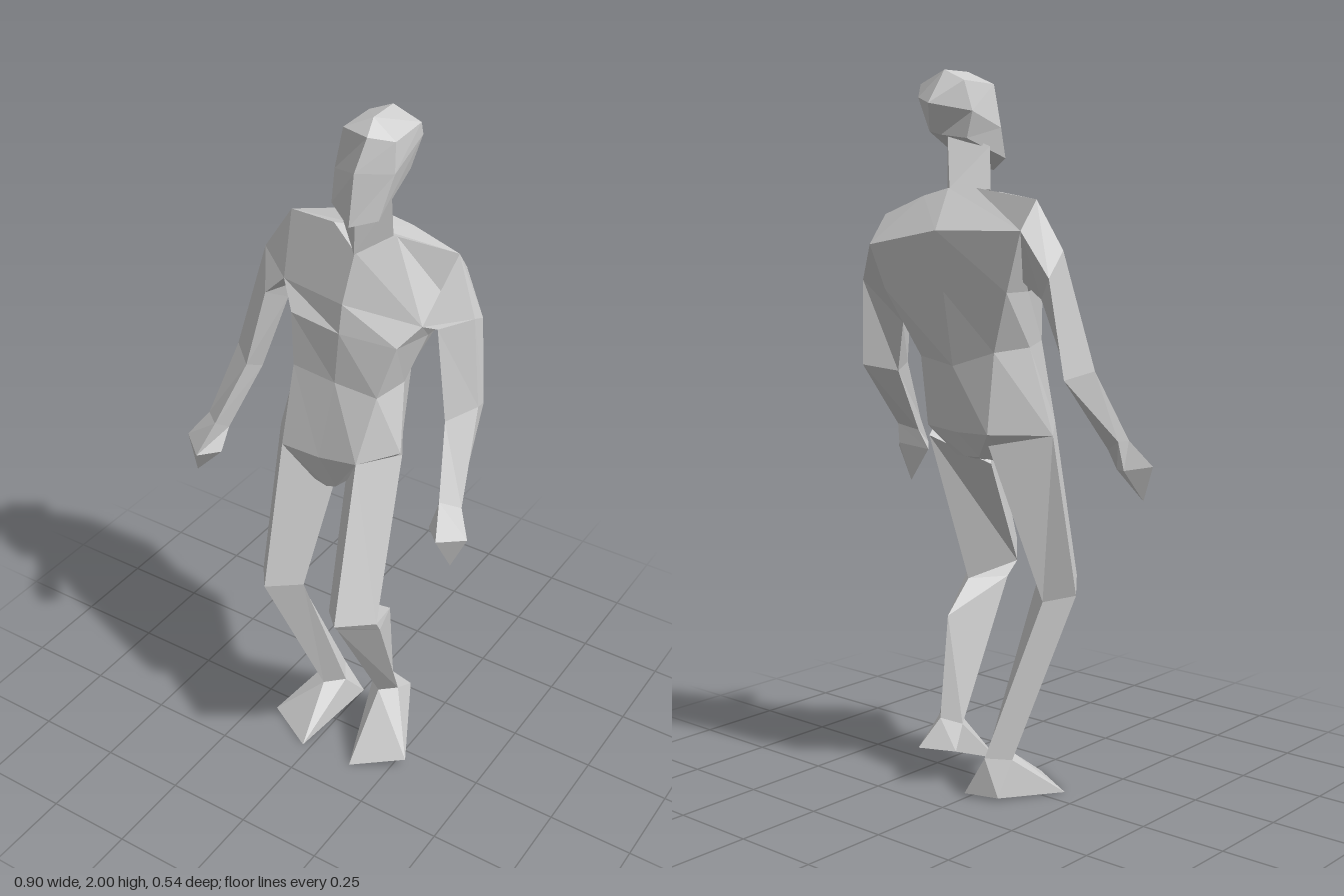
import * as THREE from 'three';

// Skin a stack of matching cross-sections; both ends close to a centre or a given tip.
function loft(rings, tip) {
  const n = rings[0].length;
  const tris = [];
  const centre = (r) => [0, 1, 2].map((k) => r.reduce((s, p) => s + p[k], 0) / n);
  for (let i = 0; i < rings.length - 1; i++) {
    for (let j = 0; j < n; j++) {
      const k = (j + 1) % n;
      const a = rings[i][j], b = rings[i][k], c = rings[i + 1][k], d = rings[i + 1][j];
      tris.push([a, b, c], [a, c, d]);
    }
  }
  const first = rings[0], last = rings[rings.length - 1];
  const c0 = centre(first), c1 = tip || centre(last);
  for (let j = 0; j < n; j++) {
    const k = (j + 1) % n;
    tris.push([c0, first[k], first[j]], [c1, last[j], last[k]]);
  }
  // Turn the faces outward whichever way the sections run
  const v = (p) => new THREE.Vector3(p[0], p[1], p[2]).sub(new THREE.Vector3(...c0));
  const volume = tris.reduce((s, [a, b, c]) => s + v(a).dot(v(b).cross(v(c))), 0);
  if (volume < 0) tris.forEach((t) => t.reverse());
  const g = new THREE.BufferGeometry();
  g.setAttribute('position', new THREE.Float32BufferAttribute(tris.flat(2), 3));
  g.computeVertexNormals();
  return g;
}

export function createModel() {
  const model = new THREE.Group();
  model.name = 'standingFigure';
  const clay = new THREE.MeshStandardMaterial({ color: 0xcccccc, flatShading: true });
  clay.name = 'light grey clay';
  const part = (name, rings, tip) => {
    const mesh = new THREE.Mesh(loft(rings, tip), clay);
    mesh.name = name;
    model.add(mesh);
  };

  // Head: front right, nose line, front left, back left, back, back right
  part('head', [
    [[-0.015, 1.77, 0], [0.065, 1.74, 0.045], [0.125, 1.755, 0], [0.125, 1.84, -0.15], [0.07, 1.83, -0.165], [0, 1.82, -0.14]],
    [[-0.025, 1.85, -0.03], [0.07, 1.88, 0.03], [0.145, 1.87, -0.04], [0.147, 1.93, -0.17], [0.06, 1.91, -0.225], [-0.02, 1.89, -0.14]],
    [[0, 1.965, -0.03], [0.085, 1.965, -0.005], [0.14, 1.95, -0.05], [0.147, 1.965, -0.16], [0.07, 2, -0.15], [0, 1.97, -0.15]],
  ], [0.075, 2, -0.05]);

  // Neck: front, left, back, right
  part('neck', [
    [[0.04, 1.63, -0.02], [0.115, 1.675, -0.09], [0.04, 1.69, -0.165], [-0.04, 1.685, -0.09]],
    [[0.05, 1.77, -0.01], [0.12, 1.79, -0.07], [0.06, 1.85, -0.15], [-0.02, 1.8, -0.07]],
  ]);

  // Torso and pelvis: front right, front, front left, left, back left, back, back right, right
  const waist = [[-0.12, 1.05, 0.09], [0, 1.05, 0.09], [0.12, 1.07, 0.09], [0.2, 1.08, -0.01],
    [0.11, 1.05, -0.18], [0, 1.04, -0.185], [-0.1, 1.04, -0.175], [-0.2, 1.03, -0.02]];
  part('torso', [
    [[-0.05, 1.68, -0.065], [0.04, 1.635, -0.025], [0.12, 1.67, -0.1], [0.255, 1.62, -0.19],
      [0.12, 1.67, -0.18], [0.04, 1.69, -0.17], [-0.04, 1.69, -0.15], [-0.21, 1.66, -0.105]],
    [[-0.19, 1.49, -0.035], [0.03, 1.5, 0.02], [0.22, 1.45, -0.07], [0.27, 1.46, -0.17],
      [0.235, 1.54, -0.272], [0, 1.58, -0.265], [-0.235, 1.58, -0.2], [-0.25, 1.5, -0.12]],
    [[-0.13, 1.43, 0.02], [0.03, 1.42, 0.035], [0.18, 1.4, -0.01], [0.21, 1.4, -0.12],
      [0.2, 1.42, -0.25], [0, 1.42, -0.235], [-0.18, 1.42, -0.19], [-0.17, 1.42, -0.09]],
    [[-0.115, 1.28, 0.035], [0.02, 1.27, 0.04], [0.14, 1.25, 0.02], [0.165, 1.26, -0.08],
      [0.12, 1.24, -0.195], [0, 1.22, -0.2], [-0.12, 1.26, -0.17], [-0.16, 1.27, -0.07]],
    waist,
  ]);
  part('pelvis', [
    waist,
    [[-0.04, 0.94, 0.05], [0, 0.93, 0.05], [0.03, 0.94, 0.05], [0.05, 0.94, -0.03],
      [0.04, 0.97, -0.14], [0, 0.97, -0.15], [-0.04, 0.97, -0.14], [-0.05, 0.94, -0.03]],
  ]);

  // Arms: front, outer, back, inner at shoulder, upper arm, elbow, wrist
  const rightWrist = [[-0.355, 1.03, 0.085], [-0.405, 1.03, 0.045], [-0.395, 1.03, 0.01], [-0.34, 1, 0.04]];
  part('rightArm', [
    [[-0.19, 1.49, -0.035], [-0.21, 1.66, -0.105], [-0.235, 1.58, -0.2], [-0.18, 1.45, -0.13]],
    [[-0.25, 1.43, -0.03], [-0.295, 1.53, -0.1], [-0.3, 1.46, -0.165], [-0.215, 1.4, -0.09]],
    [[-0.3, 1.2, 0], [-0.37, 1.22, -0.06], [-0.335, 1.2, -0.145], [-0.28, 1.18, -0.05]],
    rightWrist,
  ]);
  part('rightHand', [
    rightWrist,
    [[-0.385, 0.94, 0.14], [-0.455, 0.96, 0.085], [-0.4, 0.95, 0.03], [-0.337, 0.94, 0.085]],
  ], [-0.415, 0.86, 0.1]);

  const leftWrist = [[0.36, 1.02, 0.055], [0.41, 1, 0.02], [0.39, 1.01, -0.01], [0.345, 0.99, 0.03]];
  part('leftArm', [
    [[0.22, 1.45, -0.07], [0.255, 1.62, -0.19], [0.235, 1.54, -0.272], [0.21, 1.4, -0.18]],
    [[0.26, 1.45, -0.08], [0.33, 1.47, -0.15], [0.32, 1.44, -0.215], [0.24, 1.32, -0.14]],
    [[0.31, 1.2, -0.05], [0.37, 1.23, -0.12], [0.35, 1.2, -0.19], [0.29, 1.18, -0.11]],
    leftWrist,
  ]);
  part('leftHand', [
    leftWrist,
    [[0.39, 0.94, 0.12], [0.45, 0.93, 0.055], [0.4, 0.95, 0.005], [0.335, 0.93, 0.06]],
  ], [0.405, 0.83, 0.06]);

  // Legs: front, outer, back, inner at hip, knee, ankle
  const rightAnkle = [[-0.06, 0.11, -0.02], [-0.1, 0.11, -0.07], [-0.05, 0.12, -0.13], [-0.01, 0.11, -0.07]];
  part('rightLeg', [
    [[-0.12, 1.05, 0.09], [-0.2, 1.03, -0.02], [-0.1, 1.01, -0.17], [-0.01, 0.93, -0.02]],
    [[-0.13, 0.6, 0.18], [-0.205, 0.57, 0.08], [-0.13, 0.55, 0.025], [-0.055, 0.58, 0.09]],
    rightAnkle,
  ]);
  part('rightFoot', [
    rightAnkle,
    [[-0.025, 0, 0.15], [-0.185, 0, 0.06], [-0.09, 0.01, -0.12], [0.008, 0.01, -0.15]],
  ]);

  const leftAnkle = [[0.14, 0.18, -0.02], [0.185, 0.18, -0.06], [0.14, 0.19, -0.105], [0.095, 0.17, -0.06]];
  part('leftLeg', [
    [[0.12, 1.07, 0.09], [0.2, 1.07, -0.02], [0.11, 1.02, -0.175], [0.02, 0.93, -0.02]],
    [[0.168, 0.65, 0.27], [0.24, 0.62, 0.165], [0.16, 0.57, 0.04], [0.092, 0.61, 0.18]],
    [[0.168, 0.63, 0.255], [0.237, 0.58, 0.14], [0.15, 0.48, -0.06], [0.095, 0.57, 0.14]],
    leftAnkle,
  ]);
  part('leftFoot', [
    leftAnkle,
    [[0.14, 0, 0.145], [0.287, 0.03, 0.06], [0.17, 0.11, -0.165], [0.085, 0.1, -0.1]],
  ]);

  return model;
}
